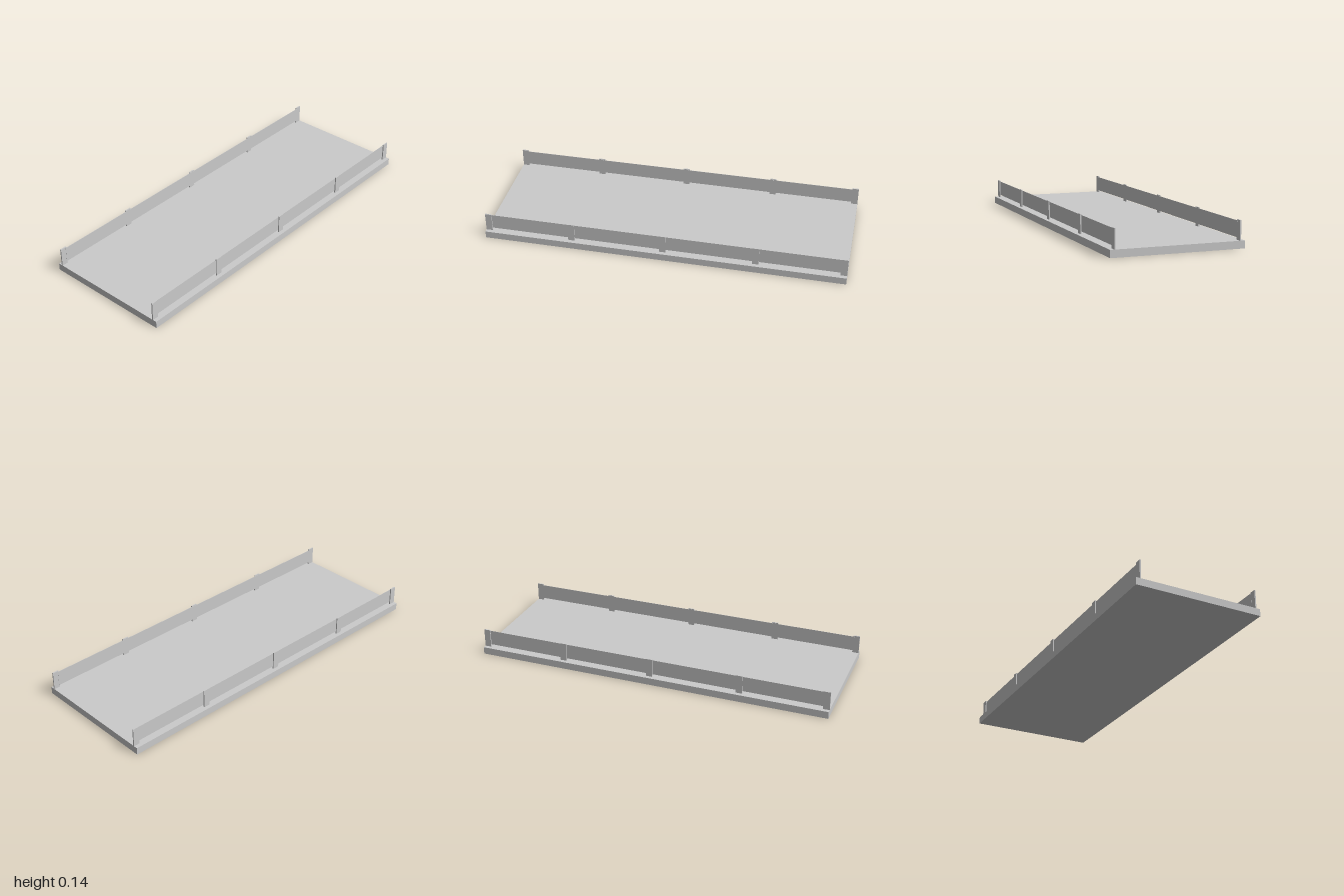
import * as THREE from 'three';

export function createModel() {
  const model = new THREE.Group();
  const material = new THREE.MeshStandardMaterial({ color: 0xcccccc, flatShading: true });

  const addBox = (name, parent, [w, h, d], [x, y, z]) => {
    const mesh = new THREE.Mesh(new THREE.BoxGeometry(w, h, d), material);
    mesh.name = name;
    mesh.position.set(x, y, z);
    parent.add(mesh);
  };

  // Flat slab
  const deckTop = 0.04;
  addBox('deck', model, [0.717, deckTop, 2], [0, deckTop / 2, 0]);

  // A guard along each long edge: thin rail on the inner side, posts outside
  for (const side of [-1, 1]) {
    const guard = new THREE.Group();
    guard.name = side > 0 ? 'leftGuard' : 'rightGuard';
    addBox('railPanel', guard, [0.002, 0.085, 1.938], [side * 0.33, 0.0955, 0]);
    for (const z of [-0.982, -0.51, 0, 0.51, 0.982]) {
      addBox('post', guard, [0.007, 0.103, 0.036], [side * 0.3335, deckTop + 0.0515, z]);
    }
    model.add(guard);
  }
  return model;
}
